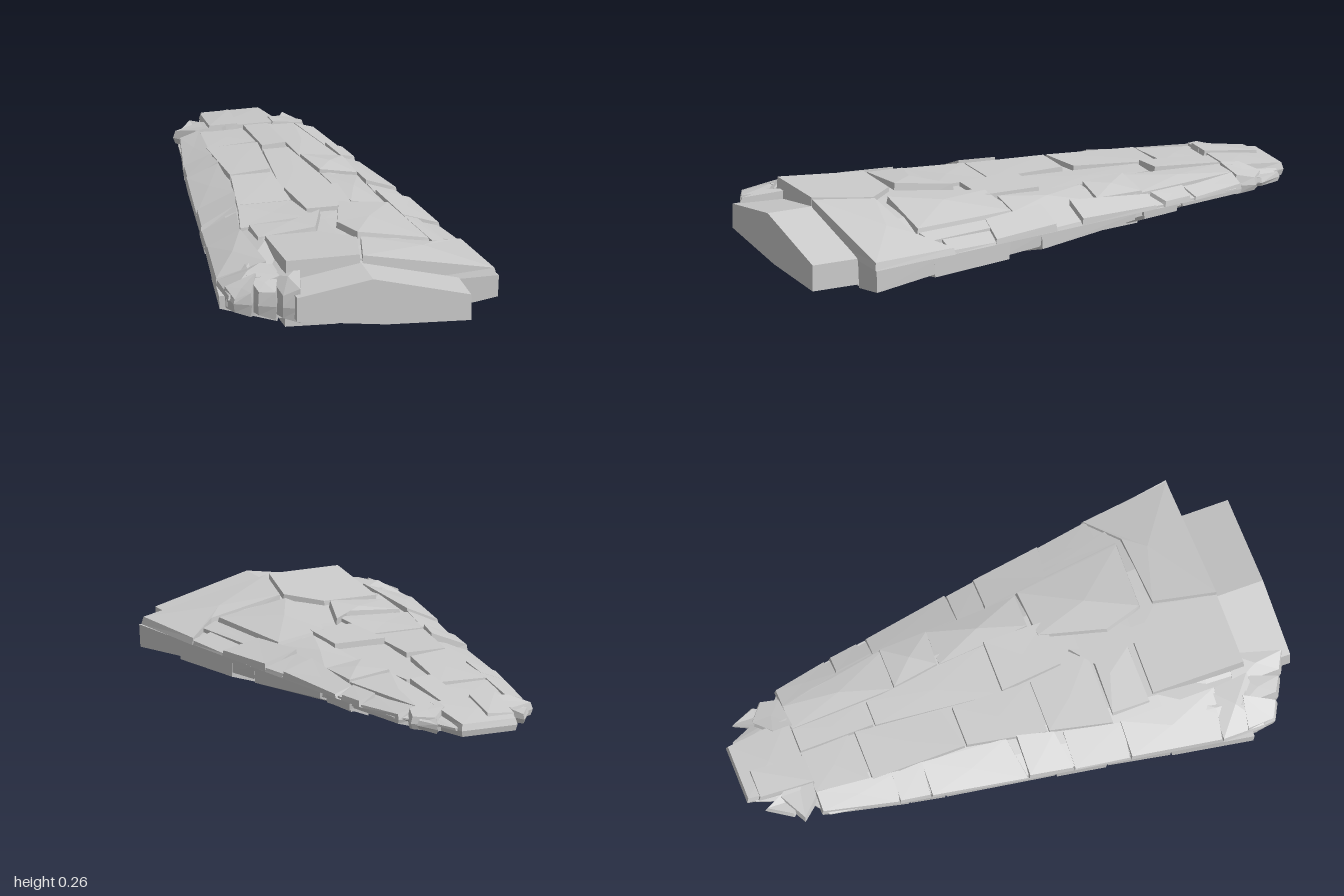
import * as THREE from 'three';

const mat = new THREE.MeshStandardMaterial({ color: 0xcccccc, flatShading: true });
const { clamp, lerp } = THREE.MathUtils;

// Piecewise linear lookup over [z, value] pairs
function along(table, z) {
  const i = table.findIndex((p) => p[0] >= z);
  if (i === 0) return table[0][1];
  if (i < 0) return table[table.length - 1][1];
  const [z0, v0] = table[i - 1], [z1, v1] = table[i];
  return lerp(v0, v1, (z - z0) / (z1 - z0));
}

// Plan outline and height profiles of the slab
const LEFT = [[-1, -0.12], [-0.78, -0.2], [-0.76, -0.27], [0.78, -0.51], [0.83, -0.49]];
const RIGHT = [[-1, 0.1], [-0.78, 0.2], [-0.76, 0.25], [0.08, 0.39], [0.83, 0.51]];
const CROWN = [[-1, 0.155], [-0.75, 0.18], [-0.1, 0.207], [0.2, 0.212], [0.83, 0.248]];
const KEEL = [[-1, 0.11], [-0.4, 0.065], [0, 0.04], [0.6, 0.012], [0.83, 0.01]];
const EDGE_LOW = [[-1, 0.112], [-0.75, 0.12], [0.1, 0.085], [0.83, 0.045]];

// Height of the upper (up = 1) or lower (up = -1) face at a point
function surface(x, z, up) {
  const c = 0.03, front = clamp((z + 0.4) / 1.2, 0, 1);
  const u = clamp((x - c) / (along(x < c ? LEFT : RIGHT, z) - c), 0, 1);
  if (up < 0) {
    const edge = along(EDGE_LOW, z) + (x < c ? 0.04 * front : 0);
    return lerp(edge, along(KEEL, z), clamp((1 - u) * (2.8 - 0.6 * front), 0, 1));
  }
  const steep = x > c ? 2.2 - front : 3.2;
  const cap = x < -0.28 ? 1 - 0.35 * front : 1;
  return lerp(0.148, along(CROWN, z), clamp((1 - u) * steep, 0, cap));
}

// Point at a fraction u of the way from the middle to either edge
const across = (u, z) => [u < 0 ? -u * along(LEFT, z) : u * along(RIGHT, z), z];

function meshFrom(name, points) {
  const g = new THREE.BufferGeometry();
  g.setAttribute('position', new THREE.Float32BufferAttribute(points.flat(), 3));
  g.computeVertexNormals();
  const m = new THREE.Mesh(g, mat);
  m.name = name;
  return m;
}

// Chipped plate: outline in [x, z], walls lean in from mid height to a face tilted along z
function plate(name, outline, up, lift, tilt = 0, lean = 0.008) {
  const mid = 0.13, n = outline.length, t = [];
  const area = THREE.ShapeUtils.area(outline.map(([x, z]) => new THREE.Vector2(x, z)));
  const loop = area * up > 0 ? [...outline].reverse() : outline;
  const cx = loop.reduce((s, p) => s + p[0], 0) / n, cz = loop.reduce((s, p) => s + p[1], 0) / n;
  const face = (x, z) => [x, surface(x, z, up) + up * (lift + tilt * (z - cz)), z];
  const base = loop.map(([x, z]) => [x, mid, z]);
  const top = loop.map(([x, z]) => {
    const k = Math.min(lean / Math.hypot(cx - x, cz - z), 0.4);
    return face(lerp(x, cx, k), lerp(z, cz, k));
  });
  for (let i = 0; i < n; i++) {
    const j = (i + 1) % n;
    t.push(base[i], base[j], top[j], base[i], top[j], top[i]);
    t.push(top[i], top[j], face(cx, cz));
    t.push(base[j], base[i], [cx, mid, cz]);
  }
  return meshFrom(name, t);
}

// Solid core lofted just beneath the plates
function core() {
  const stations = [-0.97, -0.8, -0.74, -0.5, -0.2, 0.08, 0.3, 0.5, 0.68, 0.8];
  const us = [-1, -0.8, -0.6, -0.45, 0, 0.45, 0.75, 1];
  const rings = stations.map((z) => {
    const xs = us.map((u) => across(u * 0.97, z)[0]);
    return [
      ...xs.map((x) => [x, surface(x, z, 1) - 0.014, z]),
      ...xs.reverse().map((x) => [x, surface(x, z, -1) + 0.014, z]),
    ];
  });
  const t = [], n = rings[0].length, last = rings[rings.length - 1];
  for (let i = 0; i < rings.length - 1; i++) {
    for (let j = 0; j < n; j++) {
      const k = (j + 1) % n, a = rings[i], b = rings[i + 1];
      t.push(a[j], b[j], a[k], a[k], b[j], b[k]);
    }
  }
  // caps: strips between the upper and lower halves
  for (let j = 0; j < n / 2 - 1; j++) {
    for (const [ring, flip] of [[rings[0], false], [last, true]]) {
      const q = [ring[j], ring[j + 1], ring[n - 2 - j], ring[n - 1 - j]];
      if (flip) q.reverse();
      t.push(q[0], q[1], q[2], q[0], q[2], q[3]);
    }
  }
  return meshFrom('core', t);
}

// Columns of long plates; each column is [end z, number of plates], joints wander by sine rules
function plates(name, cuts, columns, up) {
  const group = new THREE.Group();
  group.name = name + 's';
  const start = -0.765, lastCut = cuts.length - 1;
  const corner = (k, z) => across(cuts[k] + (k > 0 && k < lastCut ? 0.06 * Math.sin(k * 2.6 + z * 6) : 0), z);
  columns.forEach(([end, count], c) => {
    const joint = (r) => lerp(start, end, (r + (r > 0 && r < count ? 0.3 * Math.sin(r * 2.4 + c * 1.7) : 0)) / count);
    for (let r = 0; r < count; r++) {
      const z0 = joint(r), z1 = joint(r + 1);
      const skew = r + 1 < count ? 0.035 * Math.cos(r * 1.3 + c * 2.1) : 0;
      const outline = [corner(c, z0), corner(c + 1, z0), corner(c + 1, z1 + skew), corner(c, z1)];
      group.add(plate(name, outline, up, 0.007 * Math.sin(r * 2.7 + c * 4.1), 0.04 * Math.sin(r * 1.9 + c), 0.005));
    }
  });
  return group;
}

export function createModel() {
  const model = new THREE.Group();
  model.name = 'rockSlab';
  model.add(core());
  model.add(plates('upperPlate', [-1, -0.66, -0.12, 0.3, 0.72, 1], [[0.83, 7], [0.32, 4], [0.22, 3], [0.16, 3], [0.5, 6]], 1));
  model.add(plates('lowerPlate', [-1, -0.62, -0.12, 0.3, 0.68, 1], [[0.78, 6], [0.82, 5], [0.82, 4], [0.82, 5], [0.82, 6]], -1));

  // Broken front block
  const end = new THREE.Shape([[-0.28, 0.09], [0.05, 0.05], [0.36, 0.038], [0.36, 0.135], [0, 0.226], [-0.28, 0.18]]
    .map(([x, y]) => new THREE.Vector2(x, y)));
  const block = new THREE.Mesh(new THREE.ExtrudeGeometry(end, { depth: 0.4, bevelEnabled: false }), mat);
  block.position.z = 0.6;
  block.name = 'frontBlock';
  model.add(block);

  // Large raised plates toward the front
  model.add(
    plate('frontLeftPlate', [[-0.28, 0.83], [0, 0.83], [0.05, 0.6], [-0.06, 0.48], [-0.27, 0.48]], 1, 0.006, 0.02),
    plate('frontRightPlate', [[0, 0.83], [0.5, 0.82], [0.46, 0.48], [0.34, 0.58], [0.05, 0.6]], 1, 0.006),
    plate('centrePlate', [[0.0, 0.42], [0.05, 0.57], [0.33, 0.575], [0.28, 0.15], [0.08, 0.16]], 1, 0.008, 0, 0.02),
    plate('centreFlank', [[0.33, 0.57], [0.28, 0.16], [0.33, 0.16], [0.39, 0.55]], 1, 0),
    plate('knob', [[-0.3, 0.32], [-0.06, 0.32], [0.01, 0.25], [-0.06, 0.475], [-0.3, 0.475]], 1, 0.012, 0, 0.02),
  );

  // Narrow tip with a chunk, a cap and a spike on each side
  const tip = [[-0.12, -1], [0.1, -1], [0.12, -0.76], [-0.15, -0.76]];
  for (const up of [1, -1]) {
    model.add(plate('tip', tip, up, 0.004));
    for (const s of [-1, 1]) {
      const chunk = [[s * 0.24 - 0.02, -0.83], [s * 0.15, -0.89], [s * 0.08, -0.83], [s * 0.08, -0.75], [s * 0.2, -0.76]];
      model.add(plate('tipChunk', chunk, up, 0.008));
      const spike = [[s * 0.12, -0.84], [s * 0.17, -0.95], [s * 0.22 - 0.01, -0.86], [s * 0.17, -0.8]];
      model.add(plate('tipSpike', spike, up, 0));
    }
  }
  model.add(plate('tipCap', [[-0.13, -0.96], [-0.02, -0.96], [-0.04, -0.75], [-0.15, -0.75]], 1, 0.012));

  // Splinters fanned around the front corner on the -x side, thinning forward
  for (let i = 0; i < 3; i++) {
    const x = -0.47 + i * 0.08, z = 0.87 + i * 0.04;
    const outline = [[x - 0.02, 0.76], [x - 0.01, z], [x + 0.05, z + 0.03], [x + 0.1, 0.78]];
    model.add(plate('splinter', outline, 1, -0.008 - i * 0.012, -0.12), plate('splinter', outline, -1, -0.01 - i * 0.018, -0.15));
  }
  return model;
}
